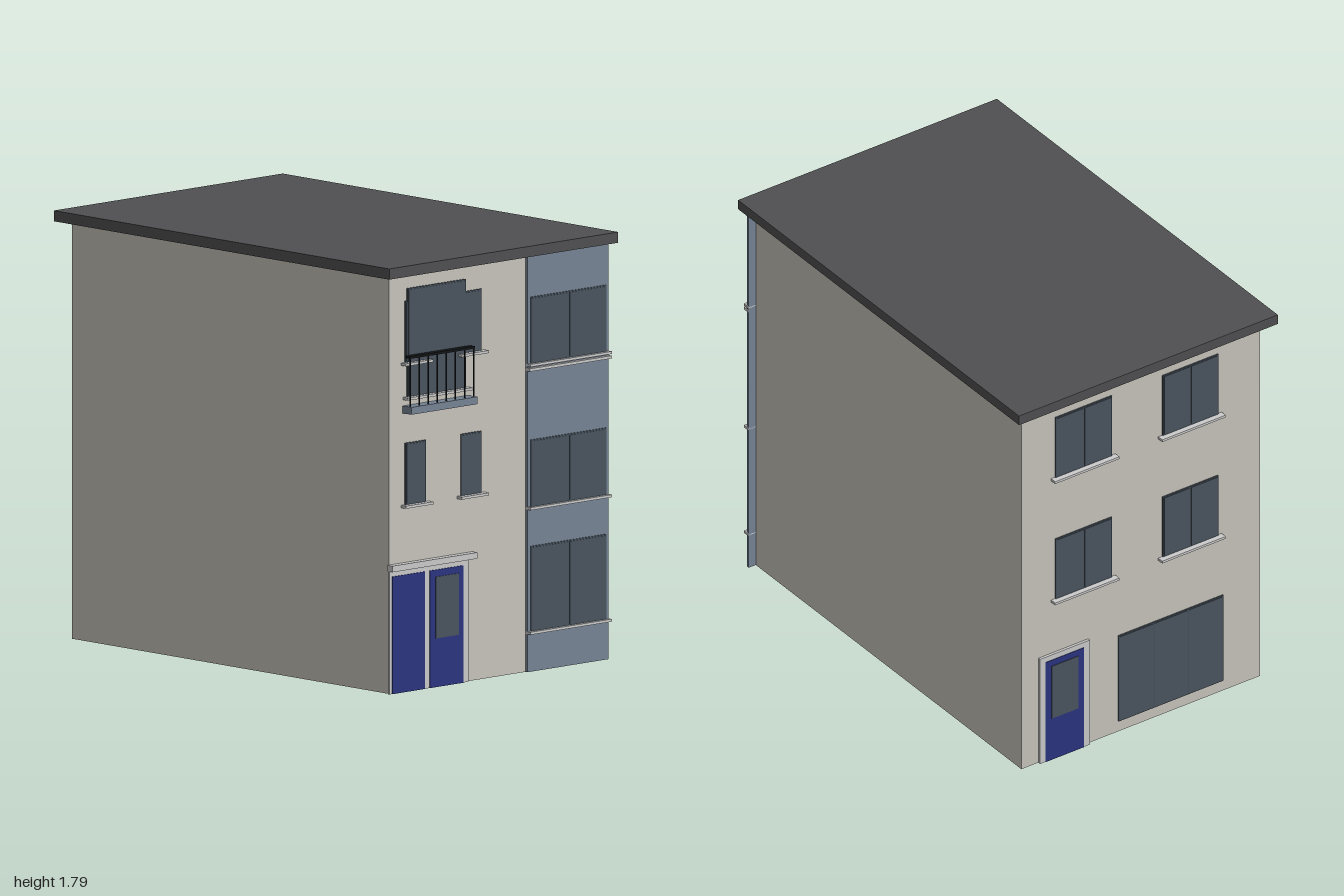
import * as THREE from 'three';

const mat = (color, side = THREE.FrontSide) => new THREE.MeshStandardMaterial({ color, side });

const W = 0.606, D = 0.945, H = 1.752;   // half width, half depth and height of the walls

export function createModel() {
  const house = new THREE.Group();
  house.name = 'townHouse';

  const wallMat = mat(0xc8c5bc, THREE.DoubleSide);
  const trim = mat(0xcccccc);
  const roofMat = mat(0x505052);
  const cladding = mat(0x778596);
  const frameMat = mat(0x46515b);
  const glass = mat(0x4a555f);
  const blue = mat(0x2b3480);
  const iron = mat(0x111417);

  // Box given by its limits on each axis
  function block(name, material, x0, x1, y0, y1, z0, z1, parent = house) {
    const mesh = new THREE.Mesh(new THREE.BoxGeometry(x1 - x0, y1 - y0, z1 - z0), material);
    mesh.position.set((x0 + x1) / 2, (y0 + y1) / 2, (z0 + z1) / 2);
    mesh.name = name;
    parent.add(mesh);
    return mesh;
  }

  // Box standing out from the front (side 1) or back (side -1) wall, from depth a to depth b
  function onWall(name, material, side, x0, x1, y0, y1, a, b, parent) {
    const z = [side * (D + a), side * (D + b)].sort((p, q) => p - q);
    return block(name, material, x0, x1, y0, y1, z[0], z[1], parent);
  }

  // Window: thin frame, proud panes and an optional sill
  function makeWindow(name, side, x0, x1, y0, y1, { panes = 1, base = 0.001, sill = 0.02 } = {}) {
    const g = new THREE.Group();
    g.name = name;
    onWall('windowFrame', frameMat, side, x0, x1, y0, y1, base, base + 0.005, g);
    const m = 0.006, w = (x1 - x0 - m) / panes;
    for (let i = 0; i < panes; i++) {
      const px = x0 + m + i * w;
      onWall('windowPane', glass, side, px, px + w - m, y0 + m, y1 - m, base + 0.003, base + 0.007, g);
    }
    if (sill) onWall('windowSill', trim, side, x0 - sill, x1 + sill, y0 - 0.011, y0, 0.001, 0.03, g);
    house.add(g);
  }

  // Blue door leaf, with a glazed light if wanted
  function makeDoor(name, side, x0, x1, glazed) {
    const g = new THREE.Group();
    g.name = name;
    onWall('doorLeaf', blue, side, x0, x1, 0, 0.492, 0.002, 0.015, g);
    if (glazed) onWall('doorGlass', glass, side, x0 + 0.03, x1 - 0.03, 0.205, 0.463, 0.01, 0.018, g);
    house.add(g);
  }

  // Walls: open shell without a floor
  const walls = new THREE.Group();
  walls.name = 'walls';
  const names = ['frontWall', 'leftWall', 'backWall', 'rightWall'];
  for (let i = 0; i < 4; i++) {
    const [width, reach] = i % 2 ? [2 * D, W] : [2 * W, D];
    const geo = new THREE.PlaneGeometry(width, H).translate(0, H / 2, reach).rotateY(i * Math.PI / 2);
    const wall = new THREE.Mesh(geo, wallMat);
    wall.name = names[i];
    walls.add(wall);
  }
  house.add(walls);

  // Flat roof slab
  block('roof', roofMat, -0.657, 0.657, 1.75, 1.795, -1, 1);

  // Tall clad strip with three wide windows and their sills
  onWall('claddingPanel', cladding, 1, 0.178, 0.642, 0, 1.79, 0.001, 0.012);
  for (const [y0, y1] of [[0.17, 0.527], [0.692, 0.973], [1.293, 1.572]]) {
    makeWindow('wideWindow', 1, 0.195, 0.628, y0, y1, { panes: 2, base: 0.011, sill: 0.018 });
  }
  onWall('lowerLedge', trim, 1, 0.176, 0.645, 1.263, 1.275, 0.001, 0.03);

  // Narrow front windows on two floors
  for (const x of [-0.517, -0.197]) {
    makeWindow('narrowWindow', 1, x, x + 0.117, 0.783, 1.042);
    makeWindow('narrowWindow', 1, x, x + 0.117, 1.38, 1.638);
  }

  // Balcony window, slab and railing
  makeWindow('balconyWindow', 1, -0.507, -0.172, 1.235, 1.69, { panes: 2, base: 0.003 });
  onWall('balconySlab', cladding, 1, -0.528, -0.15, 1.168, 1.199, 0.001, 0.053);
  const railing = new THREE.Group();
  railing.name = 'balconyRailing';
  onWall('handrail', iron, 1, -0.524, -0.153, 1.4, 1.41, 0.012, 0.041, railing);
  for (let i = 0; i < 8; i++) {
    const x = -0.521 + i * 0.0521;
    onWall('railingBar', iron, 1, x - 0.003, x + 0.003, 1.195, 1.402, 0.036, 0.039, railing);
  }
  house.add(railing);

  // Front entrance: surround, canopy and two door leaves
  onWall('frontDoorFrame', trim, 1, -0.614, -0.159, 0, 0.515, 0.001, 0.011);
  onWall('frontDoorCanopy', trim, 1, -0.616, -0.128, 0.515, 0.541, 0.001, 0.032);
  makeDoor('frontSidePanel', 1, -0.6, -0.415, false);
  makeDoor('frontDoor', 1, -0.384, -0.192, true);

  // Back windows on two floors
  for (const [x0, x1] of [[0.15, 0.436], [-0.39, -0.108]]) {
    for (const y of [0.78, 1.38]) makeWindow('backWindow', -1, x0, x1, y, y + 0.296, { panes: 2 });
  }

  // Back door and large ground floor window
  onWall('backDoorFrame', trim, -1, 0.268, 0.52, 0, 0.517, 0.001, 0.013);
  makeDoor('backDoor', -1, 0.3, 0.494, true);
  makeWindow('gardenWindow', -1, -0.415, 0.116, 0.052, 0.475, { panes: 3, sill: 0 });

  return house;
}
